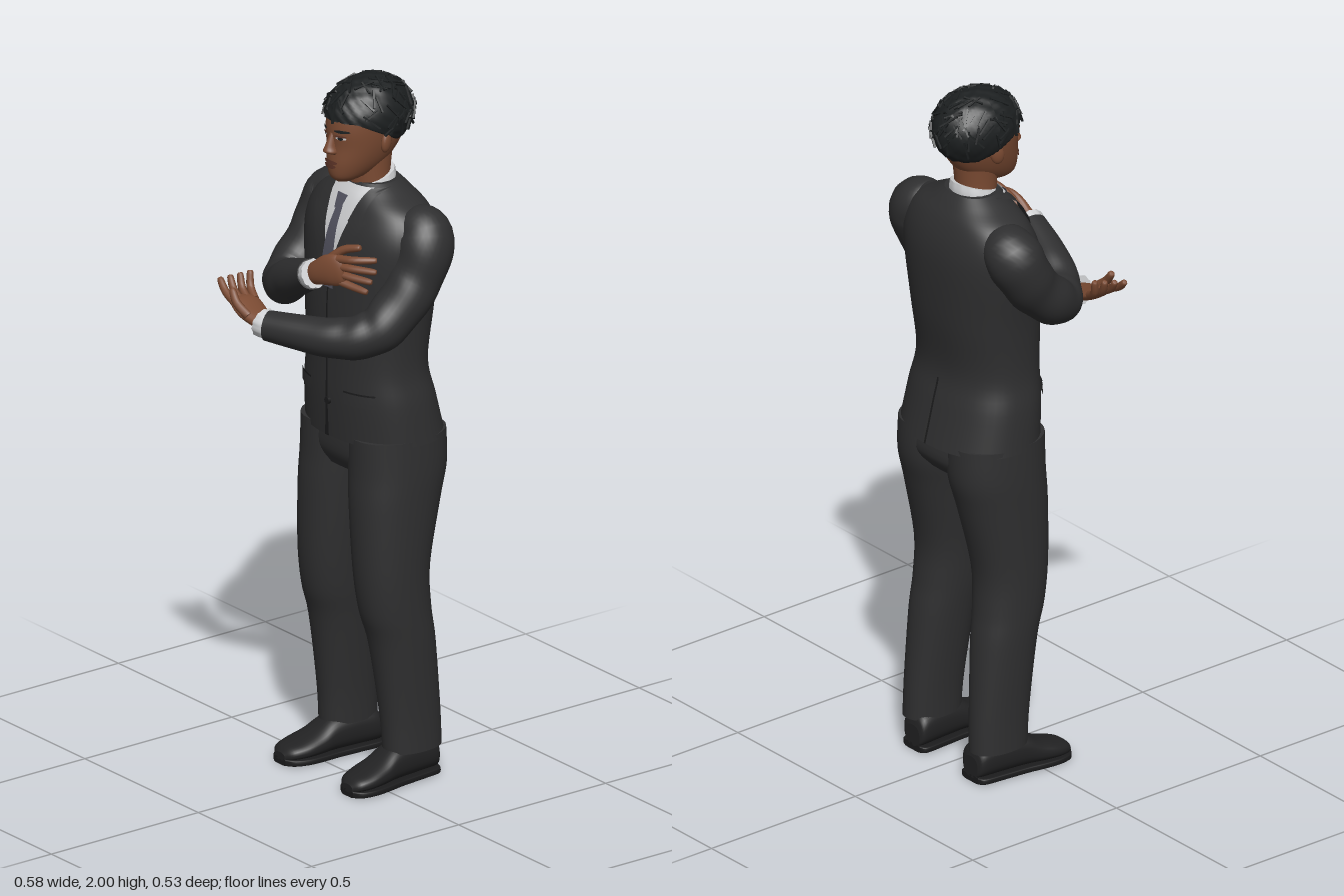
import * as THREE from 'three';

const mat = (name, color, side = THREE.FrontSide) => {
  const m = new THREE.MeshStandardMaterial({ color, side });
  m.name = name;
  return m;
};
const V = (x, y, z) => new THREE.Vector3(x, y, z);
const Y = V(0, 1, 0), Z = V(0, 0, 1);

// Catmull-Rom interpolation of every column of a list of rows
function smooth(rows, steps) {
  const out = [], last = rows.length - 1;
  for (let i = 0; i < last; i++) {
    const [a, b, c, d] = [rows[Math.max(i - 1, 0)], rows[i], rows[i + 1], rows[Math.min(i + 2, last)]];
    for (let k = 0; k < steps; k++) {
      const t = k / steps;
      out.push(b.map((_, j) => {
        const cubic = 3 * (b[j] - c[j]) + d[j] - a[j];
        const square = 2 * a[j] - 5 * b[j] + 4 * c[j] - d[j];
        return b[j] + 0.5 * t * (c[j] - a[j] + t * (square + t * cubic));
      }));
    }
  }
  out.push(rows[last]);
  return out;
}

// Skin rows of [x, y, z, radius along ref, radius across] with superellipse rings and end caps
function sweep(rows, { ref = Z, axis = null, seg = 32, pow = 2, steps = 5, wave = null } = {}) {
  const r = smooth(rows, steps), pos = [], idx = [];
  const bend = c => Math.sign(c) * Math.pow(Math.abs(c), 2 / pow);
  r.forEach((p, i) => {
    const a = r[Math.max(i - 1, 0)], b = r[Math.min(i + 1, r.length - 1)];
    const t = axis ? axis.clone().normalize() : V(b[0] - a[0], b[1] - a[1], b[2] - a[2]).normalize();
    const u = ref.clone().addScaledVector(t, -ref.dot(t)).normalize(), v = t.clone().cross(u);
    for (let j = 0; j < seg; j++) {
      const g = j / seg * Math.PI * 2, w = wave ? wave(g, i / (r.length - 1)) : 1;
      const q = V(p[0], p[1], p[2]).addScaledVector(u, bend(Math.cos(g)) * p[3] * w)
        .addScaledVector(v, bend(Math.sin(g)) * p[4] * w);
      pos.push(q.x, q.y, q.z);
    }
  });
  for (let i = 0; i < r.length - 1; i++) for (let j = 0; j < seg; j++) {
    const k = (j + 1) % seg, a = i * seg + j, b = i * seg + k;
    idx.push(a, b, a + seg, b, b + seg, a + seg);
  }
  [0, r.length - 1].forEach((row, end) => {
    const base = pos.length / 3;
    for (let j = 0; j < seg * 3; j++) pos.push(pos[row * seg * 3 + j]);
    pos.push(...r[row].slice(0, 3));
    for (let j = 0; j < seg; j++) {
      const a = base + j, b = base + (j + 1) % seg;
      idx.push(base + seg, end ? a : b, end ? b : a);
    }
  });
  const g = new THREE.BufferGeometry();
  g.setAttribute('position', new THREE.Float32BufferAttribute(pos, 3));
  g.setIndex(idx);
  g.computeVertexNormals();
  return g;
}

// Upright body rows: [y, half width, back z, front z, centre x]
const upright = rows => rows.map(([y, rx, zb, zf, cx = 0]) => [cx, y, (zb + zf) / 2, (zf - zb) / 2, rx]);

// Thin patch that hugs the front (or back) of an upright body between two edges
function patch(rows, pow, y0, y1, left, right, off, dir = 1) {
  const r = smooth(rows, 8);
  const depth = (x, y) => {
    let i = 0;
    while (i < r.length - 2 && r[i + 1][1] < y) i++;
    const t = THREE.MathUtils.clamp((y - r[i][1]) / (r[i + 1][1] - r[i][1]), 0, 1);
    const [cx, , cz, rz, rx] = r[i].map((n, j) => n + (r[i + 1][j] - n) * t);
    const across = Math.pow(Math.abs((x - cx) / rx), pow);
    return cz + dir * (rz * Math.pow(Math.max(0, 1 - across), 1 / pow) + off);
  };
  const g = new THREE.PlaneGeometry(1, 1, 8, 16), p = g.attributes.position;
  for (let i = 0; i < p.count; i++) {
    const t = p.getY(i) + 0.5, y = y0 + (y1 - y0) * t, l = left(t), x = l + (right(t) - l) * (p.getX(i) + 0.5);
    p.setXYZ(i, x, y, depth(x, y));
  }
  g.computeVertexNormals();
  return g;
}

export function createModel() {
  const root = new THREE.Group();
  const D = THREE.DoubleSide;
  const suit = mat('charcoal suit', 0x2f2f30, D), trim = mat('dark seams', 0x1b1b1c, D);
  const skin = mat('brown skin', 0x7a4a32), lip = mat('lips', 0x5f3528, D);
  const hair = mat('black hair', 0x1c1f20), white = mat('white shirt', 0xcfd0d2, D);
  const tie = mat('grey tie', 0x52525f, D), shoe = mat('black leather', 0x222223);
  const add = (name, geo, m, parent = root) => {
    const mesh = new THREE.Mesh(geo, m);
    mesh.name = name;
    parent.add(mesh);
    return mesh;
  };

  // Jacket body
  const torso = upright([[0.985, 0.213, -0.257, 0.055], [1.1, 0.205, -0.228, 0.06], [1.2, 0.191, -0.207, 0.06],
    [1.35, 0.2, -0.224, 0.06], [1.5, 0.222, -0.232, 0.05], [1.58, 0.222, -0.226, 0.035],
    [1.64, 0.19, -0.207, 0.01], [1.68, 0.12, -0.182, -0.01], [1.706, 0.078, -0.16, -0.028]]);
  add('jacketBody', sweep(torso, { axis: Y, pow: 2.3, seg: 48 }), suit);
  const onTorso = (name, m, ...args) => add(name, patch(torso, 2.3, ...args), m);
  onTorso('shirtFront', white, 1.44, 1.7, t => -0.072 * t, t => 0.072 * t, 0.004);
  onTorso('tieBlade', tie, 1.42, 1.645, t => -0.03 + 0.018 * t, t => 0.03 - 0.018 * t, 0.01);
  onTorso('tieKnot', tie, 1.635, 1.675, t => -0.013 - 0.008 * t, t => 0.013 + 0.008 * t, 0.015);
  for (const s of [-1, 1]) {
    onTorso('lapel', suit, 1.43, 1.63, t => s * 0.056 * t, t => s * (0.01 + 0.105 * t), 0.009);
    onTorso('jacketCollar', suit, 1.615, 1.7, t => s * (0.05 + 0.02 * t), t => s * (0.098 - 0.004 * t), 0.011);
    onTorso('pocketFlap', suit, 1.1, 1.135, () => s * 0.07, () => s * 0.16, 0.006);
    onTorso('pocketSeam', trim, 1.133, 1.138, () => s * 0.07, () => s * 0.16, 0.007);
  }
  onTorso('frontEdge', trim, 0.986, 1.43, t => -0.003 - 0.012 * Math.pow(1 - t, 6), () => 0.003, 0.003);
  onTorso('backVent', trim, 0.986, 1.17, () => -0.004, () => 0.003, 0.003, -1);
  for (const y of [1.09, 1.24]) {
    const b = add('button', new THREE.CylinderGeometry(0.01, 0.01, 0.008, 16), trim);
    b.position.set(0.004, y, 0.063);
    b.rotation.x = Math.PI / 2;
  }

  // Shirt collar, slanting down to the front
  add('shirtCollar', sweep([[0, 1.668, -0.082, 0.074, 0.073], [0, 1.695, -0.086, 0.071, 0.069],
    [0, 1.716, -0.088, 0.066, 0.063]],
  { axis: V(0, 1, 0.28), seg: 48, wave: (g, t) => 1 + 0.02 * t * Math.sin(g * 15) }), white);

  // Trousers and shoes
  add('trouserSeat', sweep(upright([[0.89, 0.19, -0.205, 0.02], [0.94, 0.208, -0.237, 0.042],
    [1.03, 0.195, -0.22, 0.04]]), { axis: Y, pow: 2.4 }), suit);
  const leg = [[0.09, 0.057, -0.207, -0.03, 0.141], [0.2, 0.061, -0.203, -0.022, 0.138],
    [0.4, 0.075, -0.187, 0.005, 0.131], [0.5, 0.082, -0.174, 0.032, 0.126], [0.62, 0.089, -0.172, 0.046, 0.121],
    [0.8, 0.101, -0.212, 0.05, 0.112], [0.9, 0.108, -0.237, 0.046, 0.106], [1.0, 0.108, -0.237, 0.045, 0.103]];
  // Shoe rows run from heel to toe: z, half width, top height
  const shoeRows = [[-0.2, 0.03, 0.075], [-0.185, 0.046, 0.105], [-0.12, 0.049, 0.115], [-0.05, 0.051, 0.108],
    [0.0, 0.056, 0.08], [0.05, 0.057, 0.062], [0.09, 0.045, 0.05], [0.108, 0.022, 0.035]];
  for (const s of [-1, 1]) {
    const side = new THREE.Group();
    side.name = s > 0 ? 'leftLeg' : 'rightLeg';
    root.add(side);
    add('trouserLeg', sweep(upright(leg.map(r => [...r.slice(0, 4), s * r[4]])), { axis: Y, pow: 2.2 }), suit, side);
    const along = (bottom, grow, top) => shoeRows.map(([z, w, h]) => {
      const y1 = top ?? h;
      return [s * (0.136 + 0.08 * (z + 0.05)), (bottom + y1) / 2, z, (y1 - bottom) / 2, w + grow];
    });
    add('shoeUpper', sweep(along(0.012, 0), { ref: Y, axis: Z, pow: 2.4 }), shoe, side);
    add('shoeSole', sweep(along(0, 0.004, 0.02), { ref: Y, axis: Z, pow: 5 }), trim, side);
  }

  // Folded arms: sleeves, cuffs, hands
  const fold = V(0, 1, 1).normalize();
  const crease = (g, t) => 1 + 0.025 * Math.sin(t * 42 + 2 * Math.sin(g)) * Math.sin(Math.PI * t);
  const frill = (g, t) => 1 + 0.05 * t * Math.sin(g * 11);
  const finger = (parent, a, b, c, r) => {
    const tip = c.map((n, i) => n + (n - b[i]) * 0.1);
    const rows = [[...a, r, r], [...b, r * 0.95, r * 0.95], [...c, r * 0.75, r * 0.75], [...tip, 0.001, 0.001]];
    add('finger', sweep(rows, { ref: V(0.3, 0.5, 0.8), seg: 10, steps: 4 }), skin, parent);
  };
  const arm = (name, path, cuff, palm, palmRef, fingers) => {
    const g = new THREE.Group();
    g.name = name;
    root.add(g);
    add('sleeve', sweep(path.map(p => [...p, p[3]]), { ref: fold, wave: crease, steps: 8 }), suit, g);
    add('shirtCuff', sweep(cuff.map(p => [...p, p[3]]), { ref: fold, wave: frill }), white, g);
    add('palm', sweep(palm, { ref: palmRef, seg: 24 }), skin, g);
    fingers.forEach(f => finger(g, ...f));
  };
  const four = [0, 1, 2, 3];
  const rightFingers = four.map(i => [[0.15, 1.563 - i * 0.021, 0.14], [0.2 - 0.004 * i, 1.57 - i * 0.026, 0.125],
    [0.248 - 0.008 * Math.abs(i - 1), 1.572 - i * 0.029, 0.085 + i * 0.008], 0.0115]);
  const rightThumb = [[0.1, 1.54, 0.145], [0.145, 1.582, 0.12], [0.19, 1.597, 0.1], 0.0125];
  arm('rightArm', [[-0.15, 1.6, -0.11, 0.065], [-0.203, 1.575, -0.115, 0.08], [-0.207, 1.48, -0.06, 0.074],
    [-0.198, 1.4, 0.03, 0.066], [-0.15, 1.39, 0.09, 0.06], [-0.07, 1.435, 0.125, 0.055], [0.052, 1.492, 0.155, 0.042]],
  [[0.03, 1.482, 0.15, 0.036], [0.052, 1.492, 0.155, 0.039], [0.07, 1.5, 0.158, 0.04]],
  [[0.05, 1.49, 0.155, 0.027, 0.022], [0.085, 1.508, 0.157, 0.034, 0.021], [0.125, 1.525, 0.15, 0.044, 0.019],
    [0.155, 1.532, 0.14, 0.043, 0.015], [0.17, 1.535, 0.135, 0.03, 0.008]], Y, [...rightFingers, rightThumb]);
  const leftFingers = four.map(i => [[-0.165, 1.358, 0.18 + i * 0.021], [-0.2 - 0.004 * i, 1.38, 0.168 + i * 0.025],
    [-0.212 - 0.01 * i, 1.418 - 0.004 * i, 0.16 + i * 0.026], 0.0115]);
  const leftThumb = [[-0.11, 1.342, 0.245], [-0.145, 1.37, 0.256], [-0.17, 1.4, 0.252], 0.0125];
  arm('leftArm', [[0.15, 1.6, -0.11, 0.065], [0.203, 1.575, -0.115, 0.08], [0.207, 1.46, -0.07, 0.074],
    [0.2, 1.36, 0.02, 0.066], [0.16, 1.325, 0.085, 0.06], [0.08, 1.318, 0.145, 0.053], [-0.062, 1.322, 0.215, 0.042]],
  [[-0.04, 1.32, 0.205, 0.036], [-0.062, 1.323, 0.215, 0.039], [-0.082, 1.327, 0.218, 0.04]],
  [[-0.06, 1.322, 0.215, 0.026, 0.022], [-0.095, 1.33, 0.217, 0.034, 0.021], [-0.135, 1.343, 0.215, 0.045, 0.019],
    [-0.17, 1.36, 0.212, 0.043, 0.015], [-0.185, 1.368, 0.21, 0.03, 0.008]], Z, [...leftFingers, leftThumb]);

  // Neck and head
  add('neck', sweep(upright([[1.64, 0.06, -0.14, -0.03], [1.72, 0.056, -0.14, -0.022], [1.8, 0.058, -0.15, -0.02]]),
    { axis: Y }), skin);
  const skull = upright([[1.715, 0.02, -0.03, 0.028], [1.732, 0.042, -0.08, 0.045], [1.77, 0.063, -0.14, 0.05],
    [1.82, 0.078, -0.175, 0.046], [1.87, 0.084, -0.19, 0.048], [1.92, 0.083, -0.195, 0.038],
    [1.96, 0.07, -0.17, 0.01], [1.985, 0.03, -0.11, -0.05]]);
  add('head', sweep(skull, { axis: Y, pow: 2.15, seg: 40 }), skin);
  add('nose', sweep([[0, 1.799, 0.04, 0.012, 0.016], [0, 1.808, 0.05, 0.021, 0.02], [0, 1.822, 0.048, 0.019, 0.014],
    [0, 1.85, 0.042, 0.012, 0.009], [0, 1.868, 0.038, 0.006, 0.007]], { axis: Y, seg: 20 }), skin);
  // Oval face details: centre x, centre y, half width, half height, lift
  const onFace = (name, m, x, y, w, h, off) => {
    const half = t => w * Math.sqrt(Math.max(0, 1 - Math.pow(2 * t - 1, 2)));
    add(name, patch(skull, 2.15, y - h, y + h, t => x - half(t), t => x + half(t), off), m);
  };
  onFace('upperLip', lip, 0, 1.777, 0.027, 0.006, 0.005);
  onFace('lowerLip', lip, 0, 1.766, 0.023, 0.007, 0.006);
  for (const s of [-1, 1]) {
    onFace('eyeWhite', white, s * 0.033, 1.85, 0.014, 0.0045, 0.002);
    onFace('iris', hair, s * 0.033, 1.85, 0.007, 0.0052, 0.003);
    onFace('eyelid', lip, s * 0.033, 1.856, 0.016, 0.003, 0.004);
    onFace('eyebrow', hair, s * 0.036, 1.87, 0.02, 0.0045, 0.004);
    const ear = add('ear', new THREE.SphereGeometry(1, 16, 12), skin);
    ear.scale.set(0.012, 0.031, 0.02);
    ear.position.set(s * 0.084, 1.83, -0.075);
    ear.rotation.set(-0.15, s * 0.35, 0);
  }

  // Hair cap cut along a hairline that drops to the nape, with short raised locks
  const hairline = z => 1.862 + (z > -0.05 ? Math.min((z + 0.05) * 0.5, 0.032) : (z + 0.05) * 0.55);
  const cap = new THREE.SphereGeometry(1, 64, 48), p = cap.attributes.position;
  for (let i = 0; i < p.count; i++) {
    const d = V(p.getX(i), p.getY(i), p.getZ(i));
    const w = 0.98 + 0.018 * Math.sin(d.x * 17 + d.y * 9) * Math.sin(d.z * 15 - d.y * 11);
    const z = -0.083 + d.z * 0.133 * w;
    p.setXYZ(i, -0.003 + d.x * 0.106 * w, Math.max(1.89 + d.y * 0.108 * w, hairline(z)), z);
  }
  cap.computeVertexNormals();
  add('hairCap', cap, hair);
  let seed = 7;
  const rnd = () => (seed = seed * 16807 % 2147483647) / 2147483647;
  const locks = new THREE.Group();
  locks.name = 'hairLocks';
  root.add(locks);
  for (let i = 0; i < 110; i++) {
    const a = rnd() * Math.PI * 2, h = rnd() * 1.15 - 0.2, c = Math.sqrt(1 - h * h);
    const d = V(Math.cos(a) * c, h, Math.sin(a) * c);
    const at = V(-0.003 + d.x * 0.106, 1.888 + d.y * 0.107, -0.083 + d.z * 0.133);
    if (at.y < hairline(at.z) + 0.012) continue;
    const lock = add('lock', new THREE.BoxGeometry(0.005, 0.04 + 0.02 * rnd(), 0.006), hair, locks);
    lock.position.copy(at);
    lock.lookAt(at.clone().add(V(d.x / 0.106, d.y / 0.107, d.z / 0.133)));
    lock.rotateZ((rnd() - 0.5) * 2.4);
  }
  return root;
}
